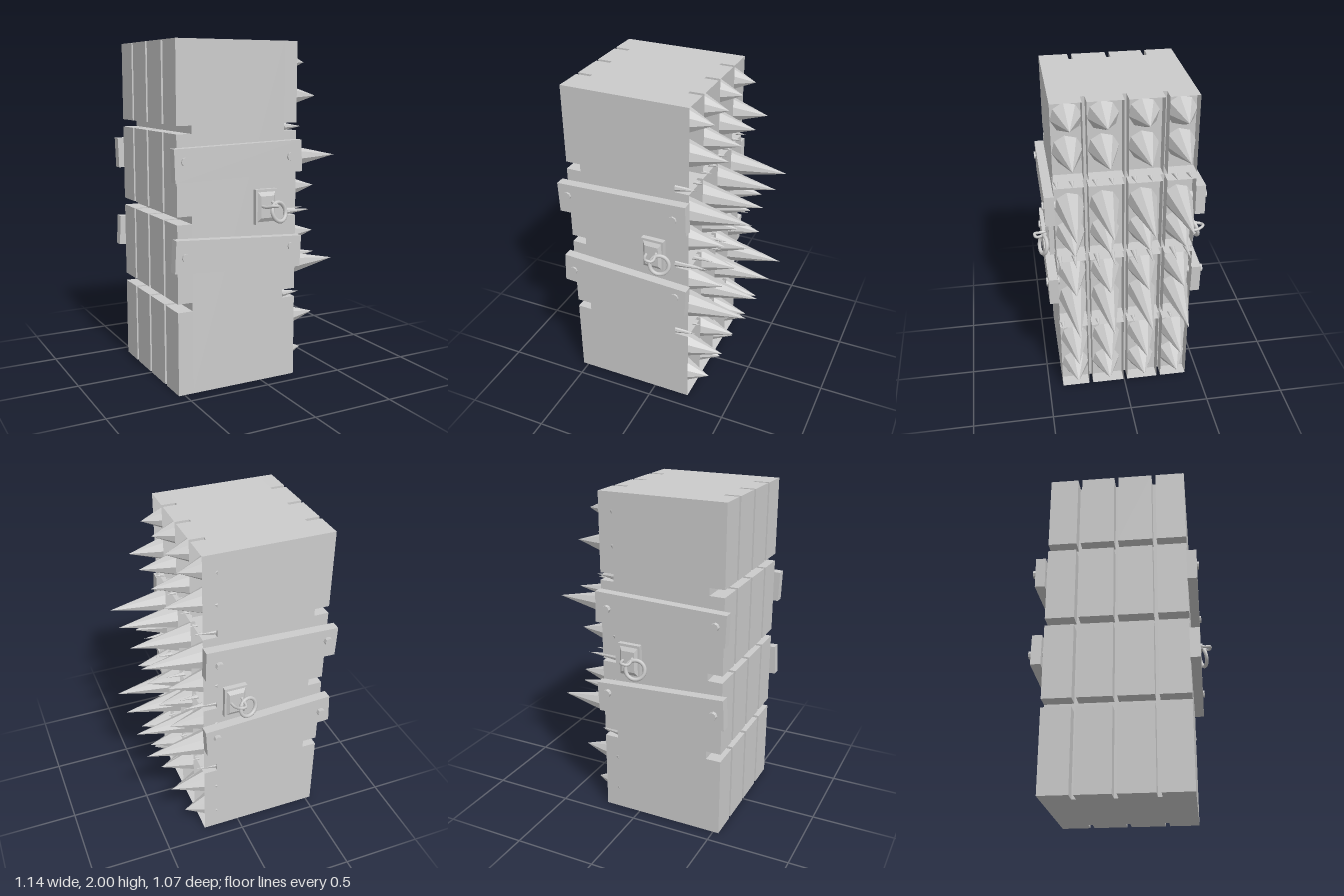
import * as THREE from 'three';

const grey = new THREE.MeshStandardMaterial({ color: 0xcccccc, flatShading: true });
const greyThin = new THREE.MeshStandardMaterial({ color: 0xcccccc, flatShading: true, side: THREE.DoubleSide });
const greySmooth = new THREE.MeshStandardMaterial({ color: 0xcccccc });

function add(parent, name, geometry, x, y, z, material = grey) {
  const mesh = new THREE.Mesh(geometry, material);
  mesh.name = name;
  mesh.position.set(x, y, z);
  parent.add(mesh);
  return mesh;
}

// Box given by its two extreme values on each axis
function span(parent, name, [x0, x1], [y0, y1], [z0, z1], material, open = false) {
  const geo = new THREE.BoxGeometry(x1 - x0, y1 - y0, z1 - z0);
  // An open box keeps only its four walls, without the +x and -x faces
  if (open) geo.setIndex(Array.from(geo.index.array).slice(12));
  return add(parent, name, geo, (x0 + x1) / 2, (y0 + y1) / 2, (z0 + z1) / 2, material);
}

// Cone along +x from the recessed floor to its tip
function spike(parent, name, tip, radius, y, z) {
  const base = 0.145;
  const geo = new THREE.ConeGeometry(radius, tip - base, 8);
  geo.rotateZ(-Math.PI / 2);
  geo.rotateX(0.15);
  return add(parent, name, geo, (base + tip) / 2, y, z);
}

// Square plate with a staple and a hanging ring, facing +z
function ringMount() {
  const g = new THREE.Group();
  g.name = 'ringMount';
  add(g, 'ringPlate', new THREE.BoxGeometry(0.14, 0.205, 0.03), 0, 0, 0.015);
  const bevel = new THREE.CylinderGeometry(0.06, 0.085, 0.016, 4, 1);
  bevel.rotateY(Math.PI / 4);
  bevel.rotateX(Math.PI / 2);
  bevel.scale(1, 1.5, 1);
  add(g, 'ringPlatePanel', bevel, 0, 0, 0.036);
  const path = new THREE.CatmullRomCurve3([
    [-0.035, 0.005, 0.03], [-0.025, 0.005, 0.08], [0.0, 0.015, 0.115],
    [0.032, 0.01, 0.105], [0.03, 0.03, 0.03],
  ].map((p) => new THREE.Vector3(...p)));
  add(g, 'staple', new THREE.TubeGeometry(path, 20, 0.009, 8), 0, 0, 0, greySmooth);
  const ring = add(g, 'ring', new THREE.TorusGeometry(0.056, 0.012, 8, 24), 0.062, -0.03, 0.068, greySmooth);
  ring.rotation.set(-0.25, 0.3, 0);
  return g;
}

export function createModel() {
  const model = new THREE.Group();
  model.name = 'spikedBlock';

  // Solid core with grooved layers on both x sides
  span(model, 'core', [-0.445, 0.145], [0, 2], [-0.415, 0.41]);
  const ySpans = [[0, 0.49], [0.54, 0.99], [1.035, 1.49], [1.535, 2]];
  const zSpans = [[-0.415, -0.245], [-0.22, -0.02], [0.005, 0.21], [0.235, 0.41]];
  for (const ys of ySpans) {
    for (const zs of zSpans) {
      span(model, 'backingTile', [-0.535, -0.445], ys, zs);
      span(model, 'spikeCell', [0.145, 0.23], ys, zs, greyThin, true);
    }
  }

  // Large spikes: height and tip of each row
  const rows = [
    [0.127, 0.335], [0.345, 0.42], [0.674, 0.565], [0.865, 0.415],
    [1.146, 0.415], [1.326, 0.565], [1.687, 0.42], [1.883, 0.335],
  ];
  for (const [y, tip] of rows) {
    for (const z of [0.315, 0.111, -0.117, -0.331]) spike(model, 'largeSpike', tip, 0.09, y, z);
  }

  // Small spikes in the horizontal grooves
  for (const [y, tip] of [[0.513, 0.27], [1.012, 0.345], [1.512, 0.27]]) {
    for (const z of [0.392, 0.302, 0.169, 0.074, -0.058, -0.153, -0.296, -0.381]) {
      spike(model, 'smallSpike', tip, 0.024, y, z);
    }
  }

  // Slanted straps with bolts on the front and the back
  const straps = [
    { y: 1.335, tilt: 0.031, boltY: 1.345, boltX: [-0.51, 0.157] },
    { y: 0.802, tilt: -0.053, boltY: 0.817, boltX: [-0.51, 0.168] },
  ];
  for (const side of [1, -1]) {
    const z = side > 0 ? 0.437 : -0.447;
    const boltLength = side > 0 ? 0.08 : 0.106;
    for (const s of straps) {
      const strap = add(model, 'strap', new THREE.BoxGeometry(0.805, 0.185, 0.058), -0.168, s.y, z);
      strap.rotation.z = s.tilt;
      for (const x of s.boltX) {
        const bolt = new THREE.CylinderGeometry(0.024, 0.024, boltLength, 8);
        bolt.rotateX(Math.PI / 2);
        add(model, 'strapBolt', bolt, x, s.boltY, z);
      }
    }
  }

  // Ring mounts, the back one turned around
  const front = ringMount();
  front.position.set(0.015, 1.058, 0.41);
  const back = ringMount();
  back.position.set(0.04, 1.032, -0.415);
  back.rotation.y = Math.PI;
  model.add(front, back);

  return model;
}
